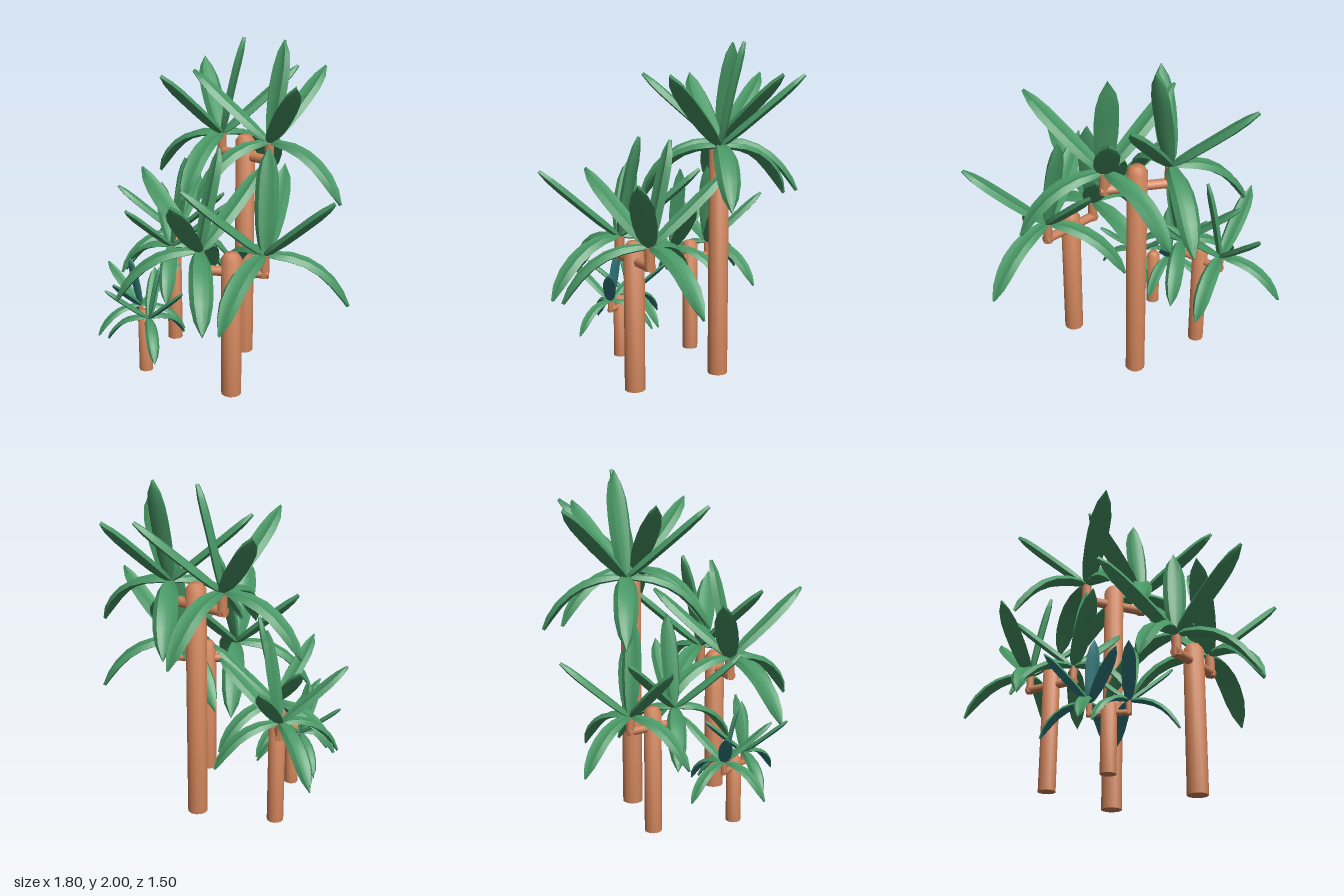
import * as THREE from 'three';
import { toCreasedNormals } from 'three/addons/utils/BufferGeometryUtils.js';

const RAD = Math.PI / 180;
const mat = (name, color) => new THREE.MeshStandardMaterial({ name, color });

// Centre lines of the leaves: [radius, height] control points
const CURVES = {
  spear: [[0, 0], [0.05, 0.3], [0.13, 0.585]],
  rising: [[0, 0], [0.235, 0.195], [0.47, 0.405]],
  drooping: [[0, 0], [0.32, 0.025], [0.48, -0.305]],
};
// Stations along a leaf: [position, half width, share of full thickness]
const STATIONS = [
  [0, 0.012, 0.4], [0.1, 0.042, 0.8], [0.25, 0.058, 1], [0.42, 0.066, 1],
  [0.58, 0.067, 1], [0.74, 0.062, 1], [0.88, 0.043, 0.85], [1, 0.001, 0.45],
];
// Cross-sections: [share of half width, height]
const TOP = [[-1, -0.012], [-0.62, 0.018], [-0.28, 0.012], [0, 0.01], [0.28, 0.012], [0.62, 0.018], [1, -0.012]];
const UNDER = [[1, -0.012], [0.5, -0.024], [0, -0.027], [-0.5, -0.024], [-1, -0.012]];

// Sweeps one side of a leaf along its centre line
function leafSide(kind, section) {
  const curve = new THREE.QuadraticBezierCurve(...CURVES[kind].map((p) => new THREE.Vector2(...p)));
  const pos = [], index = [], n = section.length;
  STATIONS.forEach(([t, width, thick], i) => {
    const p = curve.getPoint(t), d = curve.getTangent(t);
    for (const [side, lift] of section) {
      const h = lift * thick;
      pos.push(p.x - d.y * h, p.y + d.x * h, side * width);
    }
    if (i === 0) return;
    for (let j = 0; j < n - 1; j++) {
      const a = (i - 1) * n + j, c = a + n;
      index.push(a, a + 1, c, a + 1, c + 1, c);
    }
  });
  const g = new THREE.BufferGeometry();
  g.setAttribute('position', new THREE.Float32BufferAttribute(pos, 3));
  g.setIndex(index);
  return toCreasedNormals(g, 0.55);
}

// Leaf directions in degrees for the two crowns of a plant
const CROWNS = [
  { side: 1, spear: [-90], rising: [35, 157, 278], drooping: [-7, 113, 235] },
  { side: -1, spear: [-36], rising: [97, 215, 310], drooping: [78, 172, 269] },
];
const REACH = 0.185;

export function createModel() {
  const model = new THREE.Group();
  model.name = 'plantCluster';
  const bark = mat('bark', 0xcd8259);
  const green = mat('leafGreen', 0x489765);
  const teal = mat('leafTeal', 0x337f82);

  const leafGeo = {};
  for (const kind in CURVES) leafGeo[kind] = [leafSide(kind, TOP), leafSide(kind, UNDER)];

  const add = (parent, name, geo, material) => {
    const m = new THREE.Mesh(geo, material);
    m.name = name;
    parent.add(m);
    return m;
  };

  // turn aims the arms, twist turns each crown further, flip mirrors the leaf directions
  const plants = [
    { name: 'tallPlant', x: -0.043, z: -0.268, base: 0, top: 1.43, r: 0.06, crown: 1.41, s: 1, turn: 0, twist: [0, 0], flip: 1, tall: 1, under: green },
    { name: 'frontPlant', x: 0.262, z: 0.215, base: 0, top: 0.885, r: 0.06, crown: 0.88, s: 1, turn: -32, twist: [0, 0], flip: 1, tall: 1, under: green },
    { name: 'sidePlant', x: -0.487, z: -0.092, base: 0.015, top: 0.74, r: 0.049, crown: 0.71, s: 0.78, turn: 51, twist: [8, -12], flip: 1, tall: 1.13, under: green },
    { name: 'smallPlant', x: -0.31, z: 0.353, base: 0.015, top: 0.412, r: 0.043, crown: 0.4, s: 0.56, turn: 31, twist: [0, 0], flip: -1, tall: 1, under: teal, spears: [76, -64] },
  ];

  for (const p of plants) {
    const plant = new THREE.Group();
    plant.name = p.name;
    plant.position.set(p.x, 0, p.z);
    model.add(plant);

    // Trunk with a rounded top
    const profile = [[0, p.base], [p.r, p.base], [p.r, p.top - 0.6 * p.r], [0.6 * p.r, p.top - 0.06 * p.r], [0, p.top]];
    const trunk = new THREE.LatheGeometry(profile.map((q) => new THREE.Vector2(...q)), 12);
    add(plant, 'trunk', toCreasedNormals(trunk, 0.95), bark);

    CROWNS.forEach((crown, i) => {
      // Arm: the group's x axis points from the trunk to the crown
      const arm = new THREE.Group();
      arm.name = 'arm';
      arm.position.y = p.crown;
      arm.rotation.y = -(p.turn + (crown.side < 0 ? 180 : 0)) * RAD;
      arm.scale.setScalar(p.s);
      plant.add(arm);
      const r = 0.029, drop = 0.11;
      const across = new THREE.CylinderGeometry(r, r, REACH + r * 0.8, 10);
      across.rotateZ(Math.PI / 2).translate((REACH + r * 0.8) / 2, -drop, 0);
      add(arm, 'branch', across, bark);
      const up = new THREE.CylinderGeometry(r, r, drop + r * 0.8, 10);
      up.translate(REACH, -(drop + r * 0.8) / 2, 0);
      add(arm, 'stem', up, bark);

      // Crown of leaves
      const head = new THREE.Group();
      head.name = 'leafCrown';
      const a = p.turn * RAD;
      head.position.set(crown.side * REACH * p.s * Math.cos(a), p.crown, crown.side * REACH * p.s * Math.sin(a));
      head.scale.setScalar(p.s);
      plant.add(head);
      for (const kind in CURVES) {
        const angles = kind === 'spear' && p.spears ? [p.spears[i]] : crown[kind];
        for (const angle of angles) {
          const leaf = new THREE.Group();
          leaf.name = kind + 'Leaf';
          leaf.rotation.y = -(p.turn + p.twist[i] + p.flip * angle) * RAD;
          if (kind === 'spear') leaf.scale.y = p.tall;
          add(leaf, 'leafTop', leafGeo[kind][0], green);
          add(leaf, 'leafUnderside', leafGeo[kind][1], p.under);
          head.add(leaf);
        }
      }
    });
  }
  return model;
}
